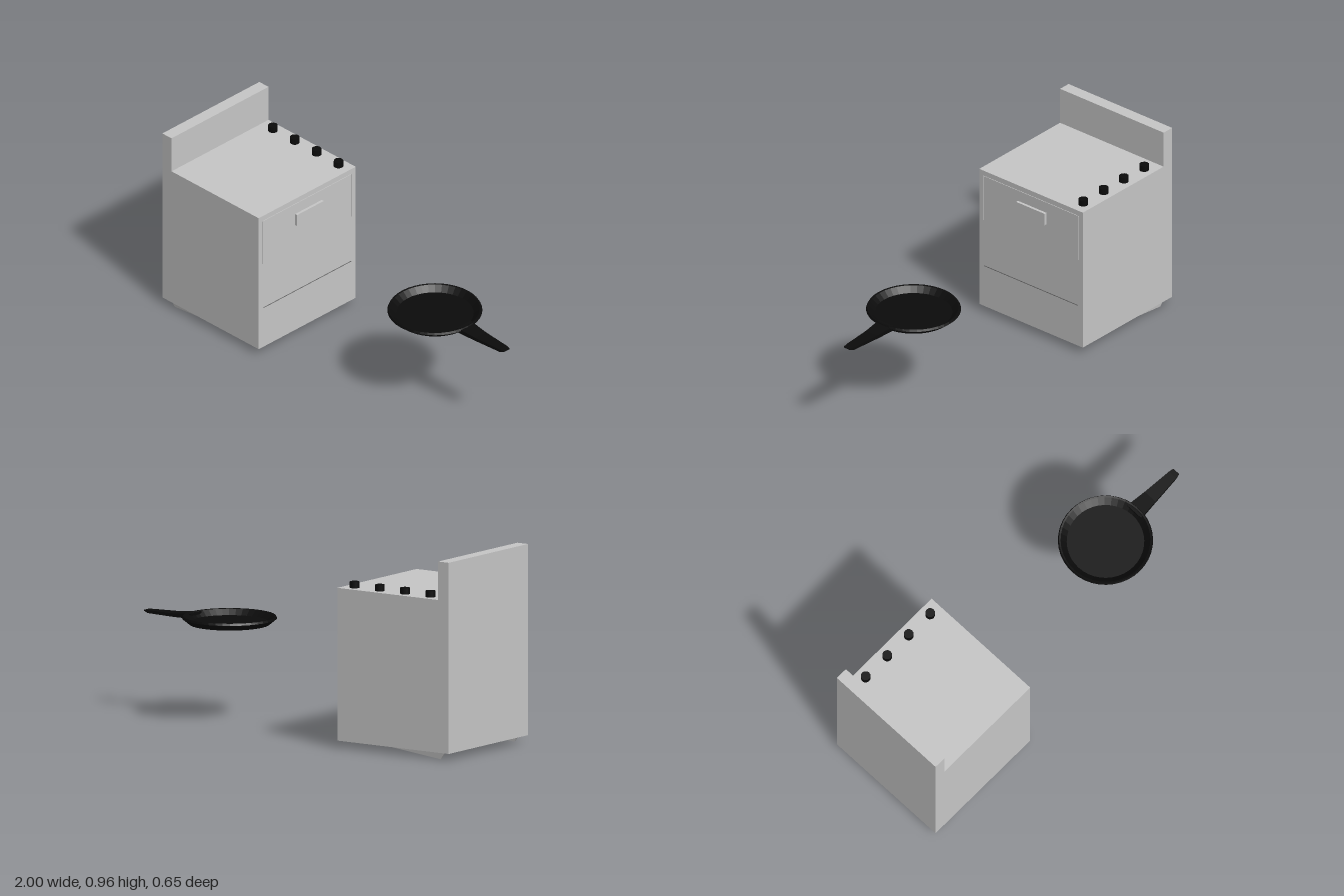
import * as THREE from 'three';
import { ConvexGeometry } from 'three/addons/geometries/ConvexGeometry.js';

export function createModel() {
  const group = new THREE.Group();
  const enamel = new THREE.MeshStandardMaterial({ color: 0xc6c6c6 });
  enamel.name = 'silver enamel';
  const black = new THREE.MeshStandardMaterial({ color: 0x0b0b0b });
  black.name = 'black iron';
  const seamGrey = new THREE.MeshStandardMaterial({ color: 0x6a6a6a });
  seamGrey.name = 'seam grey';

  const add = (name, geometry, material, x = 0, y = 0, z = 0) => {
    const mesh = new THREE.Mesh(geometry, material);
    mesh.name = name;
    mesh.position.set(x, y, z);
    group.add(mesh);
    return mesh;
  };
  const box = (name, w, h, d, material, x, y, z) =>
    add(name, new THREE.BoxGeometry(w, h, d), material, x, y, z);
  const hull = (name, points, material) =>
    add(name, new ConvexGeometry(points.map(p => new THREE.Vector3(...p))), material);

  // Stove body with upright back panel, extruded from its side profile
  const profile = new THREE.Shape([
    [-1, 0.037], [-0.348, 0.037], [-0.348, 0.776], [-0.938, 0.776], [-0.938, 0.962], [-1, 0.962],
  ].map(p => new THREE.Vector2(...p)));
  add('stoveBody', new THREE.ExtrudeGeometry(profile, { depth: 0.652, bevelEnabled: false }),
    enamel, 0, 0, -0.326);

  // Oven door: handle, drawer seam and raised outline
  box('doorHandle', 0.014, 0.062, 0.18, enamel, -0.341, 0.66, -0.008);
  box('drawerSeam', 0.003, 0.003, 0.59, seamGrey, -0.3475, 0.258, 0);
  box('doorTopTrim', 0.004, 0.002, 0.59, enamel, -0.347, 0.748, 0);
  for (const side of [-1, 1])
    box('doorSideTrim', 0.004, 0.24, 0.002, enamel, -0.347, 0.628, side * 0.3);

  // Wedge feet under the back edge
  for (const side of [-1, 1]) {
    const a = side * 0.297, b = side * 0.309, tip = side * 0.303;
    hull('foot', [
      [-0.965, 0.04, a], [-0.965, 0.04, b], [-0.6, 0.04, a], [-0.6, 0.04, b],
      [-0.938, 0.002, tip - 0.001], [-0.938, 0.002, tip + 0.001],
    ], enamel);
  }

  // Row of control knobs
  for (let i = 0; i < 4; i++)
    add('knob', new THREE.CylinderGeometry(0.0235, 0.0235, 0.03, 12), black,
      -0.856 + i * 0.148, 0.791, -0.274);

  // Hollow frying pan
  const pan = [[0, 0.471], [0.193, 0.471], [0.227, 0.499], [0.222, 0.509],
    [0.214, 0.507], [0.185, 0.481], [0, 0.481]].map(p => new THREE.Vector2(...p));
  const panGeometry = new THREE.LatheGeometry(pan, 40).toNonIndexed();
  panGeometry.computeVertexNormals();
  add('fryingPan', panGeometry, black, 0.513, 0, -0.003);

  // Tapered pan handle
  const section = (x, bottom, top, half) =>
    [[x, bottom, half - 0.003], [x, bottom, -half - 0.003], [x, top, half - 0.003], [x, top, -half - 0.003]];
  hull('panHandleRoot', [...section(0.71, 0.482, 0.506, 0.046), ...section(0.82, 0.479, 0.496, 0.036)], black);
  hull('panHandle', [...section(0.82, 0.479, 0.496, 0.036), ...section(0.975, 0.48, 0.494, 0.024),
    ...section(1, 0.488, 0.493, 0.019)], black);

  return group;
}
